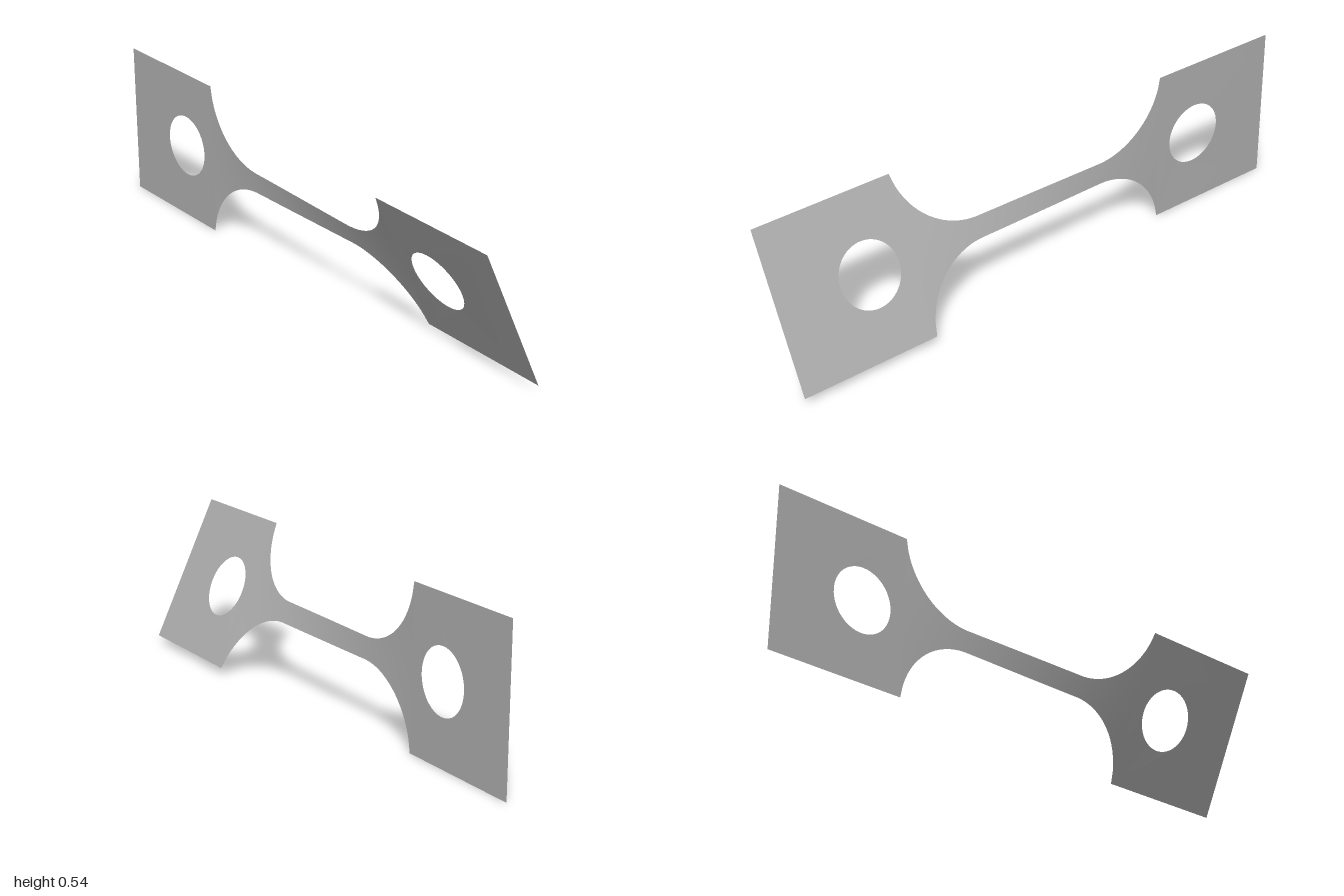
import * as THREE from 'three';

const HALF = 0.27;      // half height of the grip plates
const NECK = 0.037;     // half height of the narrow bar
const R = 0.265;        // fillet radius
const SHOULDER = 0.51;  // where the plates begin
const TWIST = THREE.MathUtils.degToRad(24.6);
const TILT = THREE.MathUtils.degToRad(0.5);

// Half height of the fillets and bar at x
function halfHeight(x) {
  const d = Math.max(0, Math.abs(x) - 0.247);
  return Math.min(HALF, NECK + R - Math.sqrt(Math.max(0, R * R - d * d)));
}

// Turn each vertex about the long axis by an angle that grows along it
function twist(geometry) {
  const p = geometry.attributes.position;
  for (let i = 0; i < p.count; i++) {
    const x = p.getX(i), y = p.getY(i);
    const a = TILT + TWIST * THREE.MathUtils.smoothstep(x, -0.6, 0.6);
    p.setXYZ(i, x, HALF + y * Math.cos(a), y * Math.sin(a));
  }
  geometry.computeVertexNormals();
  return geometry;
}

// Square grip plate with a round hole
function gripPlate(side) {
  const shape = new THREE.Shape();
  const a = Math.min(side, side * SHOULDER), b = Math.max(side, side * SHOULDER);
  shape.moveTo(a, -HALF);
  shape.lineTo(b, -HALF);
  shape.lineTo(b, HALF);
  shape.lineTo(a, HALF);
  shape.closePath();
  const hole = new THREE.Path();
  hole.absarc(side * 0.671, 0, 0.109, 0, Math.PI * 2, true);
  shape.holes.push(hole);
  return twist(new THREE.ShapeGeometry(shape, 32));
}

// Narrow bar flaring into the plates
function twistedBar() {
  const geometry = new THREE.PlaneGeometry(2 * SHOULDER, 2, 120, 6);
  const p = geometry.attributes.position;
  for (let i = 0; i < p.count; i++) p.setY(i, p.getY(i) * halfHeight(p.getX(i)));
  return twist(geometry);
}

export function createModel() {
  const group = new THREE.Group();
  const metal = new THREE.MeshStandardMaterial({ color: 0xb0b0b0, side: THREE.DoubleSide });
  metal.name = 'grey metal';
  const add = (name, geometry) => {
    const mesh = new THREE.Mesh(geometry, metal);
    mesh.name = name;
    group.add(mesh);
  };
  add('leftGripPlate', gripPlate(1));
  add('rightGripPlate', gripPlate(-1));
  add('twistedBar', twistedBar());
  return group;
}
